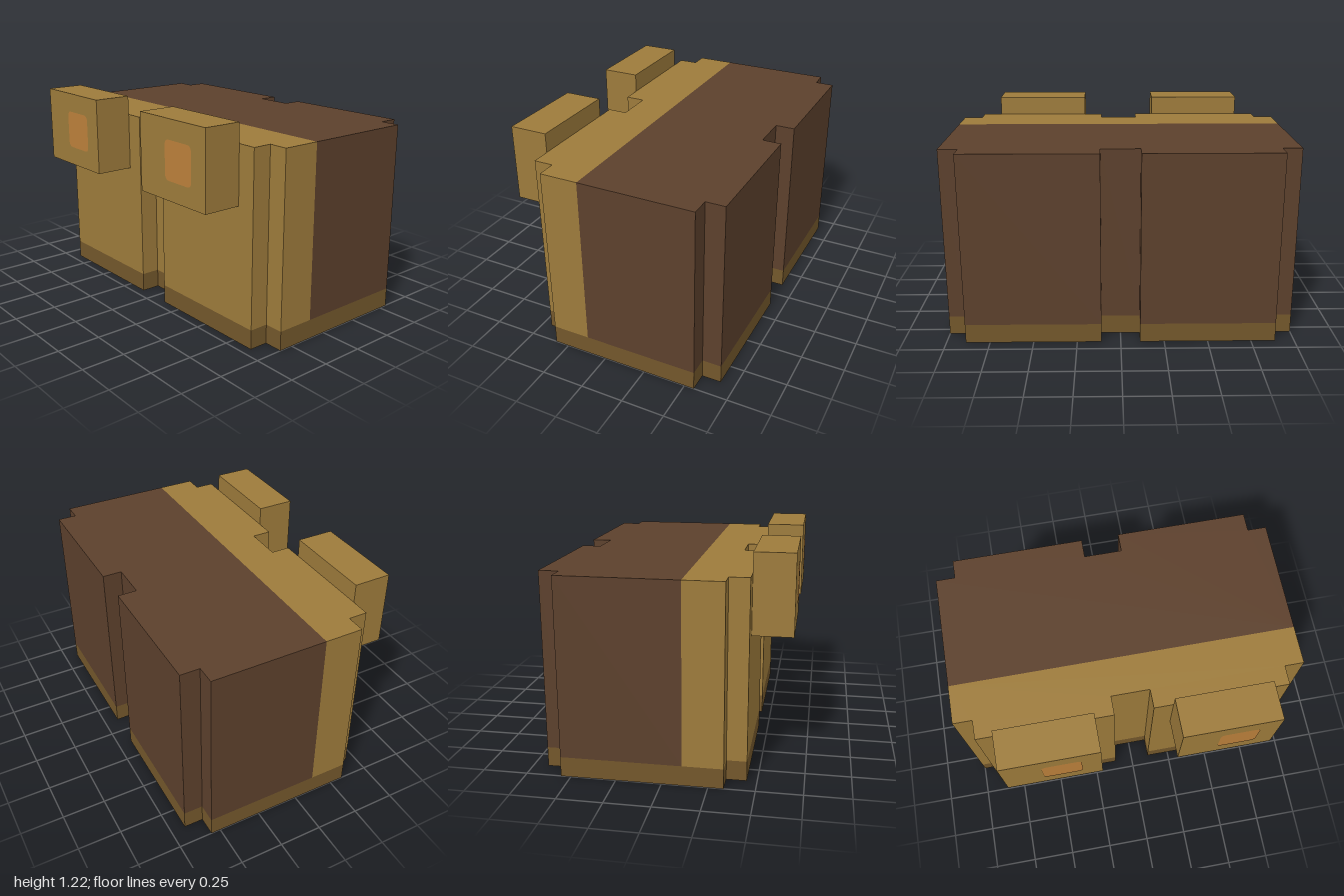
import * as THREE from 'three';

const U = 1 / 9; // block grid unit

function material(name, color) {
  const m = new THREE.MeshStandardMaterial({ color });
  m.name = name;
  return m;
}

// Extrude a plan outline of [x, z] points (grid units) upward from y0 to y1
function slab(name, plan, y0, y1, mat) {
  const shape = new THREE.Shape(plan.map(([x, z]) => new THREE.Vector2(x * U, -z * U)));
  const geo = new THREE.ExtrudeGeometry(shape, { depth: (y1 - y0) * U, bevelEnabled: false });
  geo.rotateX(-Math.PI / 2);
  geo.translate(0, y0 * U, 0);
  const mesh = new THREE.Mesh(geo, mat);
  mesh.name = name;
  return mesh;
}

// Stepped edge from left to right: two lobes standing out from a recessed wall
function steppedEdge(wallZ, lobeZ) {
  const half = [[1, wallZ], [1, lobeZ], [8, lobeZ], [8, wallZ], [9, wallZ]];
  return [...half.map(([x, z]) => [-x, z]).reverse(), ...half];
}

// Square plate with rounded corners, facing +z
function roundedPlate(size, r) {
  const h = size / 2, s = new THREE.Shape();
  s.moveTo(-h + r, -h);
  s.lineTo(h - r, -h);
  s.quadraticCurveTo(h, -h, h, -h + r);
  s.lineTo(h, h - r);
  s.quadraticCurveTo(h, h, h - r, h);
  s.lineTo(-h + r, h);
  s.quadraticCurveTo(-h, h, -h, h - r);
  s.lineTo(-h, -h + r);
  s.quadraticCurveTo(-h, -h, -h + r, -h);
  return new THREE.ShapeGeometry(s, 5);
}

export function createModel() {
  const tan = material('tan', 0x9d7b3b);
  const brown = material('brown', 0x5c402c);
  const darkTan = material('dark tan', 0x73572b);
  const orange = material('orange', 0xbc803b);

  const group = new THREE.Group();
  group.name = 'blockPair';

  // Body: dark sole, tan front and brown back sharing one stepped outline
  const front = steppedEdge(3, 4);
  const back = steppedEdge(-5, -6).reverse();
  group.add(slab('sole', [...front, ...back], 0, 1, darkTan));
  group.add(slab('frontBody', [[-9, 1], ...front, [9, 1]], 1, 10, tan));
  group.add(slab('backBody', [[9, 1], ...back, [-9, 1]], 1, 10, brown));

  // Raised blocks on the front, each with an off-centre orange patch
  const blockGeo = new THREE.BoxGeometry(5 * U, 4 * U, 2 * U);
  const patchGeo = roundedPlate(2 * U, 0.035);
  for (const [side, sign] of [['left', 1], ['right', -1]]) {
    const block = new THREE.Group();
    block.name = side + 'FrontBlock';
    block.position.set(sign * 4.5 * U, 9 * U, 5 * U);
    const box = new THREE.Mesh(blockGeo, tan);
    box.name = side + 'Block';
    const patch = new THREE.Mesh(patchGeo, orange);
    patch.name = side + 'Patch';
    patch.position.set(0.5 * U, 0, U + 0.002);
    block.add(box, patch);
    group.add(block);
  }
  return group;
}
